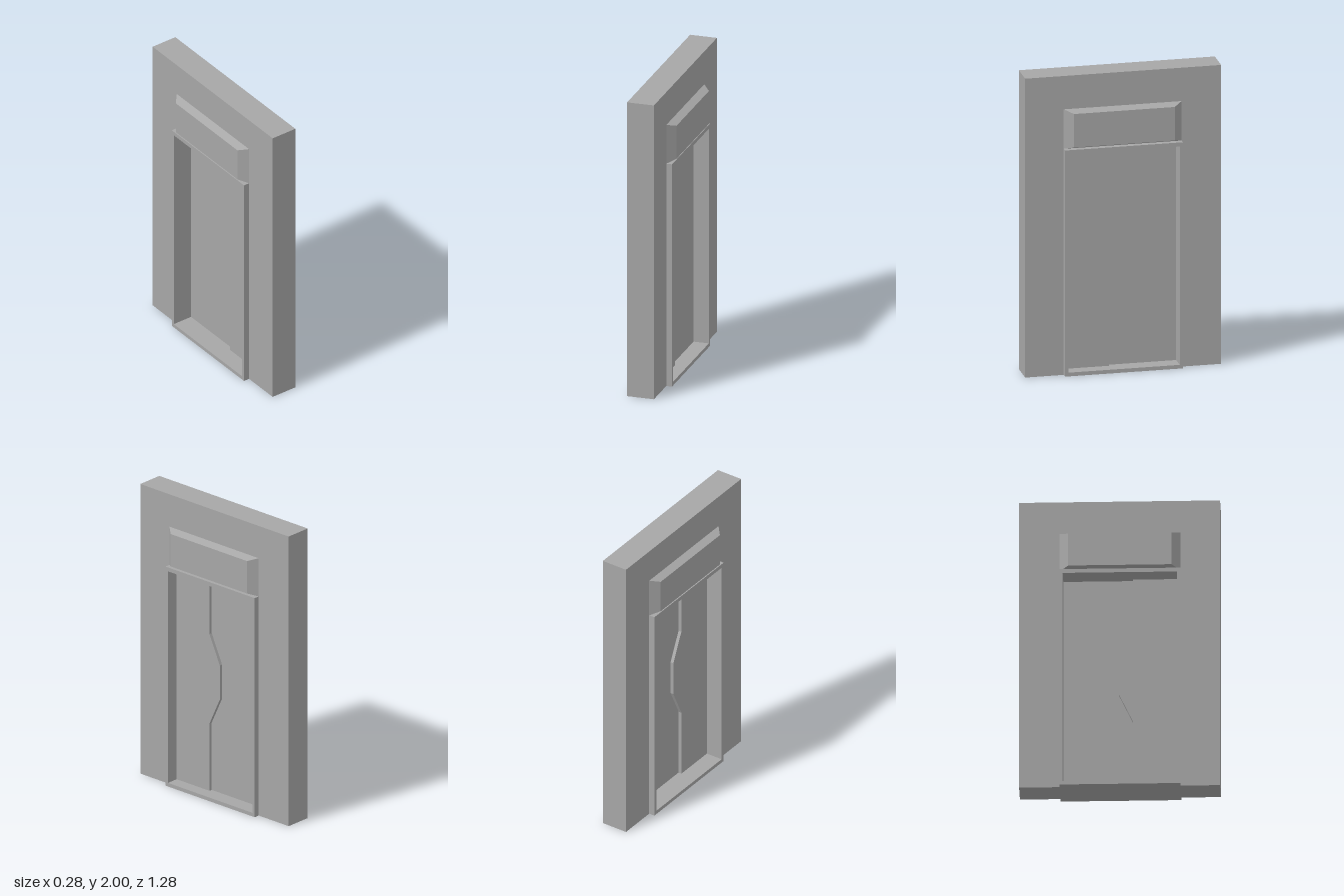
import * as THREE from 'three';

const stone = new THREE.MeshStandardMaterial({ color: 0xa6a6a6 });
stone.name = 'grey';

// Flat outline in (z, y), given thickness between x0 and x1
function slab(name, points, x0, x1, hole) {
  const toVec = ([z, y]) => new THREE.Vector2(-z, y);
  const shape = new THREE.Shape(points.map(toVec));
  if (hole) shape.holes.push(new THREE.Path(hole.map(toVec)));
  const geo = new THREE.ExtrudeGeometry(shape, { depth: x1 - x0, bevelEnabled: false });
  geo.rotateY(Math.PI / 2).translate(x0, 0, 0);
  const mesh = new THREE.Mesh(geo, stone);
  mesh.name = name;
  return mesh;
}

const rect = (z0, z1, y0, y1) => [[z1, y0], [z0, y0], [z0, y1], [z1, y1]];

// Raised panel whose outer face is smaller than its base
function transom(side) {
  const geo = new THREE.BoxGeometry(0.05, 0.264, 0.77).toNonIndexed();
  const p = geo.attributes.position;
  for (let i = 0; i < p.count; i++) {
    if (p.getX(i) * side > 0) {
      p.setY(i, Math.sign(p.getY(i)) * 0.112);
      p.setZ(i, Math.sign(p.getZ(i)) * 0.329);
    }
  }
  geo.computeVertexNormals();
  const mesh = new THREE.Mesh(geo, stone);
  mesh.name = side > 0 ? 'leftTransom' : 'rightTransom';
  mesh.position.set(side * 0.115, 1.645, 0.003);
  return mesh;
}

export function createModel() {
  const group = new THREE.Group();
  group.name = 'doorway';

  const halfWall = 0.64;
  const outerBack = -0.382, outerFront = 0.388, frameTop = 1.513;
  const innerBack = -0.361, innerFront = 0.366, sill = 0.025, head = 1.486;

  // Wall with a notch for the door frame
  group.add(slab('wall', [
    [-halfWall, 0], [outerBack, 0], [outerBack, frameTop], [outerFront, frameTop],
    [outerFront, 0], [halfWall, 0], [halfWall, 2], [-halfWall, 2],
  ], -0.09, 0.09));

  // Frame standing proud of both wall faces
  group.add(slab('doorFrame', rect(outerBack, outerFront, 0, frameTop), -0.13, 0.128,
    rect(innerBack, innerFront, sill, head)));

  // Two interlocking door leaves meeting along a stepped seam
  const seam = [[0.083, sill], [0.083, 0.49], [-0.006, 0.68], [-0.006, 0.915], [0.083, 1.108], [0.083, head]];
  group.add(slab('thickDoorLeaf', [...seam, [innerFront, head], [innerFront, sill]], -0.015, 0.046));
  group.add(slab('thinDoorLeaf', [...seam, [innerBack, head], [innerBack, sill]], 0.007, 0.025));

  // Bevelled panels above the door
  for (const side of [1, -1]) group.add(transom(side));

  return group;
}
